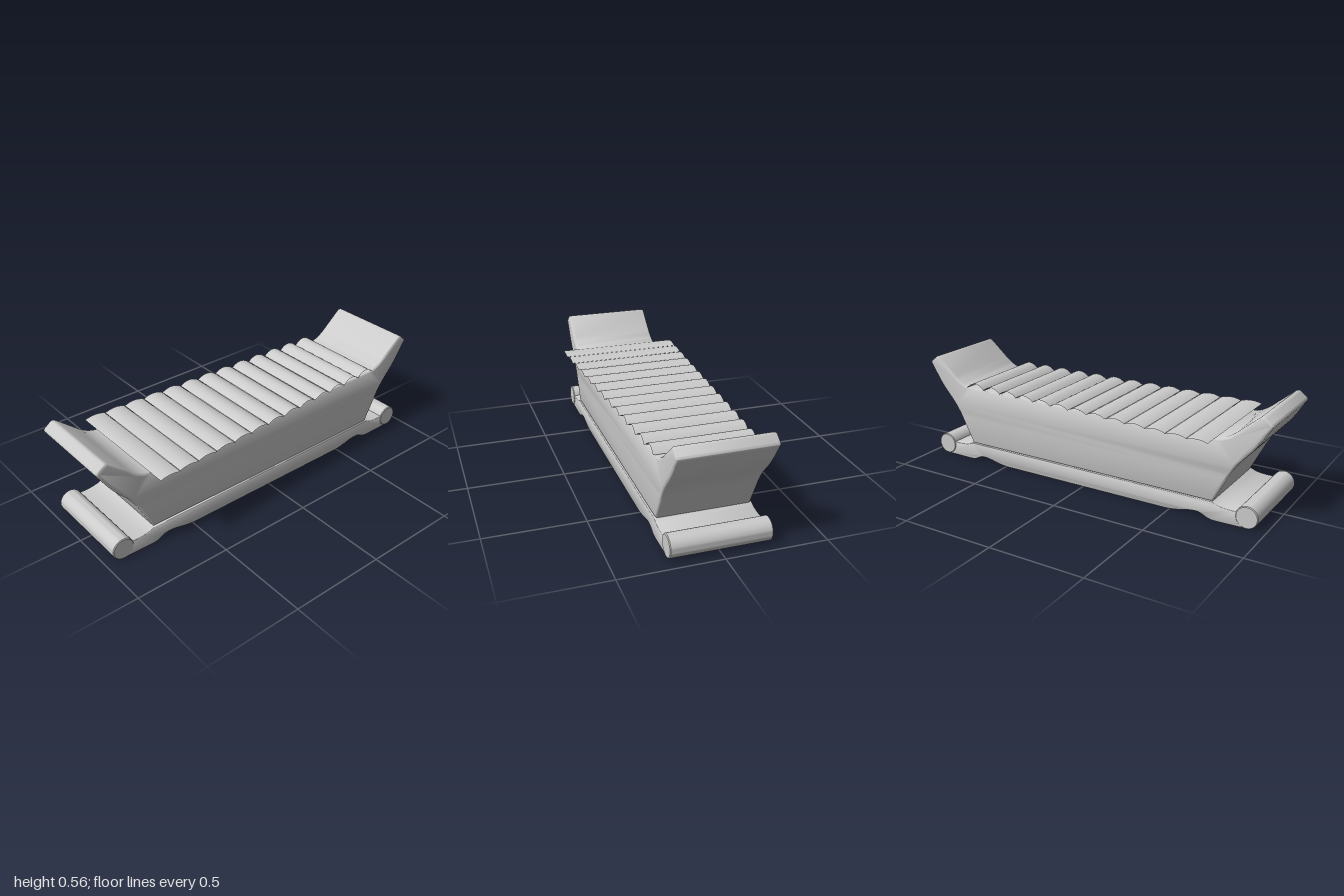
import * as THREE from 'three';
import { toCreasedNormals } from 'three/addons/utils/BufferGeometryUtils.js';

const grey = new THREE.MeshStandardMaterial({ color: 0xcccccc });
const thin = new THREE.MeshStandardMaterial({ color: 0xcccccc, side: THREE.DoubleSide });

function add(parent, name, geometry, material = grey) {
  const mesh = new THREE.Mesh(geometry, material);
  mesh.name = name;
  parent.add(mesh);
  return mesh;
}

// Sweep a side outline (z, y) across x, with rounded side edges.
function sideExtrude(shape, halfWidth, bevel) {
  const g = new THREE.ExtrudeGeometry(shape, {
    depth: 2 * (halfWidth - bevel), curveSegments: 8,
    bevelSize: bevel, bevelThickness: bevel, bevelOffset: -bevel, bevelSegments: 4,
  });
  g.translate(0, 0, -(halfWidth - bevel));
  g.rotateY(-Math.PI / 2);
  return toCreasedNormals(g, 0.6);
}

// Sound box with a flared handle at each end; m = 1 front, -1 back.
function bodyShape() {
  const s = new THREE.Shape();
  s.moveTo(-0.725, 0.095);
  s.lineTo(0.725, 0.095);
  s.lineTo(0.79, 0.22);
  s.quadraticCurveTo(0.82, 0.285, 0.875, 0.345);
  s.quadraticCurveTo(0.925, 0.395, 0.975, 0.48);
  s.lineTo(0.995, 0.51);
  s.quadraticCurveTo(1.004, 0.523, 0.992, 0.532);
  s.lineTo(0.962, 0.555);
  s.quadraticCurveTo(0.95, 0.564, 0.935, 0.553);
  s.lineTo(0.84, 0.473);
  s.quadraticCurveTo(0.78, 0.418, 0.72, 0.414);
  s.lineTo(-0.72, 0.414);
  s.quadraticCurveTo(-0.78, 0.418, -0.84, 0.473);
  s.lineTo(-0.935, 0.553);
  s.quadraticCurveTo(-0.95, 0.564, -0.962, 0.555);
  s.lineTo(-0.992, 0.532);
  s.quadraticCurveTo(-1.004, 0.523, -0.995, 0.51);
  s.lineTo(-0.975, 0.48);
  s.quadraticCurveTo(-0.925, 0.395, -0.875, 0.345);
  s.quadraticCurveTo(-0.82, 0.285, -0.79, 0.22);
  s.closePath();
  return s;
}

// Base slab, thinned by a shallow arch beside each foot.
function baseShape() {
  const s = new THREE.Shape();
  s.moveTo(-0.48, 0.004);
  s.lineTo(0.48, 0.004);
  s.bezierCurveTo(0.56, 0.006, 0.59, 0.028, 0.645, 0.028);
  s.bezierCurveTo(0.685, 0.028, 0.69, 0.002, 0.74, 0.001);
  s.lineTo(0.91, 0.003);
  s.lineTo(0.91, 0.08);
  s.lineTo(0.85, 0.078);
  s.quadraticCurveTo(0.76, 0.076, 0.73, 0.096);
  s.lineTo(-0.73, 0.096);
  s.quadraticCurveTo(-0.76, 0.076, -0.85, 0.078);
  s.lineTo(-0.91, 0.08);
  s.lineTo(-0.91, 0.003);
  s.lineTo(-0.74, 0.001);
  s.bezierCurveTo(-0.69, 0.002, -0.685, 0.028, -0.645, 0.028);
  s.bezierCurveTo(-0.59, 0.028, -0.56, 0.006, -0.48, 0.004);
  return s;
}

// Open arched bar, curved across z.
function barGeometry(halfWidth, depth, rise) {
  const g = new THREE.PlaneGeometry(2 * halfWidth, depth, 1, 16);
  g.rotateX(-Math.PI / 2);
  const p = g.attributes.position;
  for (let i = 0; i < p.count; i++) {
    const t = p.getZ(i) / (depth / 2);
    p.setY(i, rise * (1 - t * t));
  }
  g.computeVertexNormals();
  return g;
}

export function createModel() {
  const model = new THREE.Group();
  model.name = 'xylophone';

  add(model, 'soundBox', sideExtrude(bodyShape(), 0.237, 0.014));
  add(model, 'base', sideExtrude(baseShape(), 0.242, 0.004));

  // Round feet with slightly softened rims
  const r = 0.057, w = 0.245, e = 0.004;
  const rim = [[0, -w], [r - e, -w], [r, -w + e], [r, w - e], [r - e, w], [0, w]]
    .map(([a, b]) => new THREE.Vector2(a, b));
  for (const side of [1, -1]) {
    const g = new THREE.LatheGeometry(rim, 40);
    g.rotateZ(Math.PI / 2);
    const foot = add(model, side > 0 ? 'frontFoot' : 'backFoot', toCreasedNormals(g, 0.5));
    foot.position.set(0, 0.06, side * 0.905);
  }

  // Tone bars: wide and flat at the front, narrow and arched at the back
  const bars = new THREE.Group();
  bars.name = 'toneBars';
  model.add(bars);
  const count = 13, pitch = 0.1127;
  for (let i = 0; i < count; i++) {
    const t = i / (count - 1);
    const halfWidth = THREE.MathUtils.lerp(0.327, 0.248, t);
    const rise = THREE.MathUtils.lerp(0.009, 0.029, t);
    const bar = add(bars, `toneBar${i + 1}`, barGeometry(halfWidth, 0.111, rise), thin);
    bar.position.set(0, 0.42, 0.675 - i * pitch);
  }
  return model;
}
